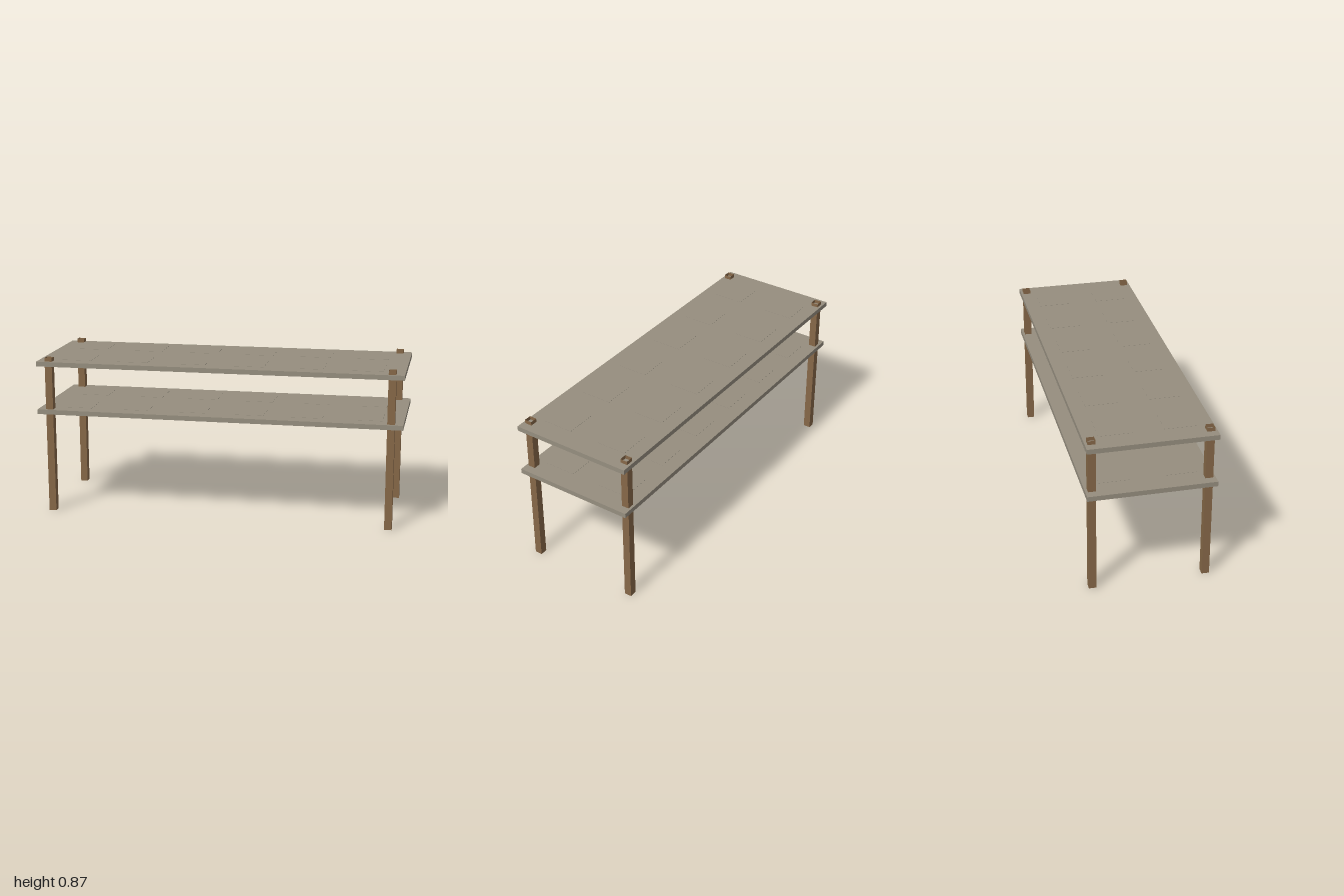
import * as THREE from 'three';

export function createModel() {
  const model = new THREE.Group();
  const wood = new THREE.MeshStandardMaterial({ color: 0x866848, side: THREE.DoubleSide });
  wood.name = 'brown wood';
  const stone = new THREE.MeshStandardMaterial({ color: 0x968e7f });
  stone.name = 'grey board';

  function add(parent, geometry, material, name, x, y, z) {
    const mesh = new THREE.Mesh(geometry, material);
    mesh.name = name;
    mesh.position.set(x, y, z);
    parent.add(mesh);
    return mesh;
  }

  // Square hollow posts, open at both ends
  const postHeight = 0.867;
  const post = new THREE.CylinderGeometry(0.02 * Math.SQRT2, 0.02 * Math.SQRT2, postHeight, 4, 1, true, Math.PI / 4)
    .toNonIndexed();
  post.computeVertexNormals();
  for (const sx of [-1, 1]) {
    for (const sz of [-1, 1]) {
      const name = (sz > 0 ? 'front' : 'back') + (sx > 0 ? 'Left' : 'Right') + 'Post';
      add(model, post, wood, name, sx * 0.935, postHeight / 2, sz * 0.3);
    }
  }

  // Two shelves, each with two rows of thin square pads
  const board = new THREE.BoxGeometry(2, 0.026, 0.667);
  const pad = new THREE.BoxGeometry(0.17, 0.002, 0.17);
  for (const [name, y] of [['lowerShelf', 0.567], ['upperShelf', 0.834]]) {
    const shelf = new THREE.Group();
    shelf.name = name;
    shelf.position.y = y;
    add(shelf, board, stone, 'board', 0, 0, 0);
    for (let i = 0; i < 6; i++) {
      for (const z of [-0.167, 0.167]) {
        add(shelf, pad, stone, 'pad', (i - 2.5) * 0.32, 0.013, z);
      }
    }
    model.add(shelf);
  }
  return model;
}
